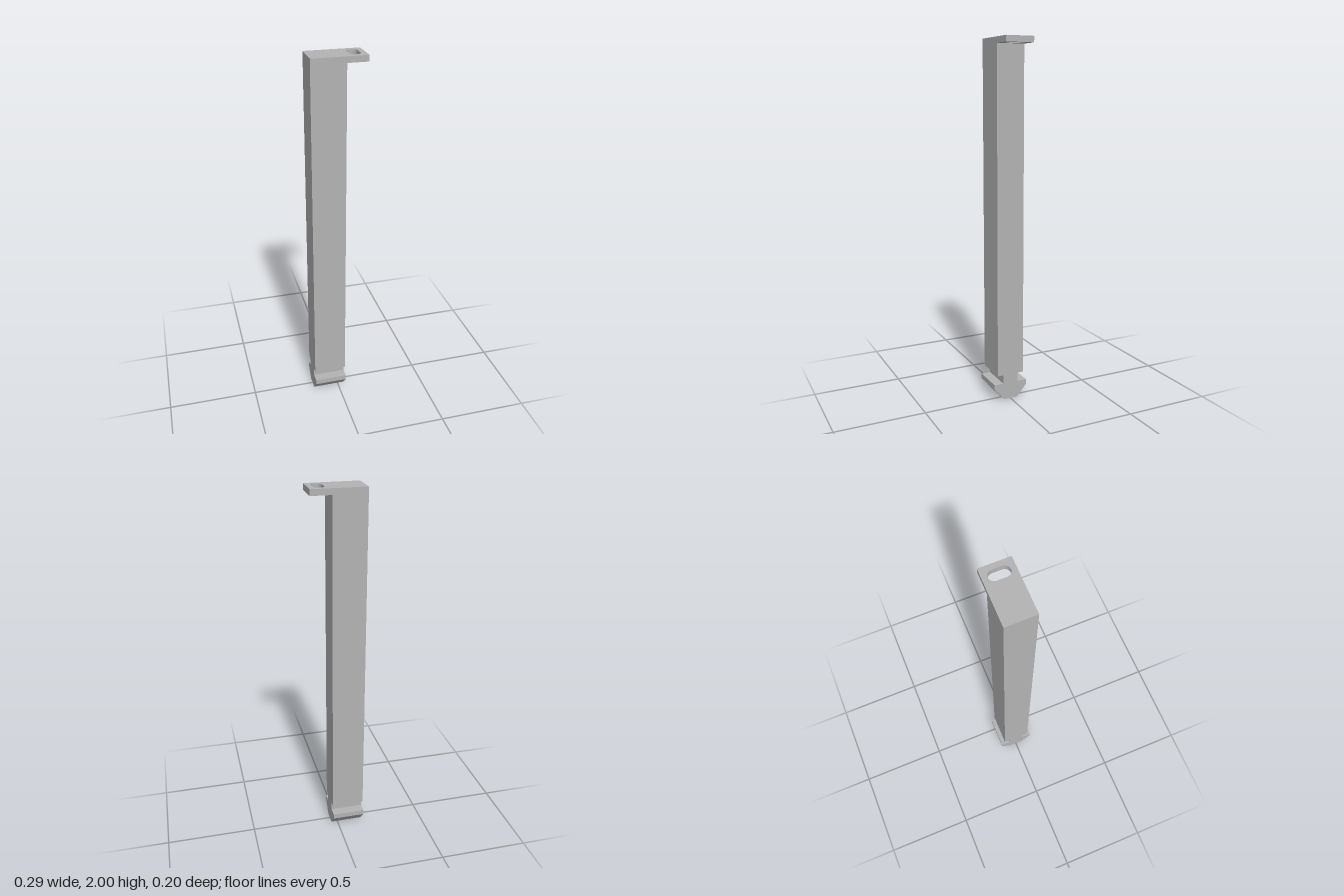
import * as THREE from 'three';

export function createModel() {
  const group = new THREE.Group();
  group.name = 'slottedPost';
  const grey = new THREE.MeshStandardMaterial({ color: 0xb3b3b3 });
  grey.name = 'grey';

  const add = (name, geometry) => {
    const mesh = new THREE.Mesh(geometry, grey);
    mesh.name = name;
    group.add(mesh);
  };

  const left = -0.146, right = 0.036, tabEnd = 0.146, halfDepth = 0.079;

  // Post with necked, chamfered foot: mirrored (z, y) profile extruded along x
  const half = [
    [0.041, 0], [0.099, 0.067], [0.099, 0.096], [0.045, 0.096],
    [0.045, 0.146], [halfDepth, 0.146], [halfDepth, 2],
  ];
  const outline = [...half, ...half.map(([z, y]) => [-z, y]).reverse()];
  const profile = new THREE.Shape(outline.map(([z, y]) => new THREE.Vector2(z, y)));
  const post = new THREE.ExtrudeGeometry(profile, { depth: right - left, bevelEnabled: false });
  post.rotateY(-Math.PI / 2).translate(right, 0, 0);
  add('postAndFoot', post);

  // Top tab with a rounded slot
  const plate = new THREE.Shape([
    new THREE.Vector2(right, -halfDepth), new THREE.Vector2(tabEnd, -halfDepth),
    new THREE.Vector2(tabEnd, halfDepth), new THREE.Vector2(right, halfDepth),
  ]);
  const slotX = 0.09, slotRadius = 0.028, slotOffset = 0.024;
  const slot = new THREE.Path();
  slot.absarc(slotX, slotOffset, slotRadius, 0, Math.PI, false);
  slot.absarc(slotX, -slotOffset, slotRadius, Math.PI, Math.PI * 2, false);
  slot.closePath();
  plate.holes.push(slot);
  const tab = new THREE.ExtrudeGeometry(plate, { depth: 0.032, bevelEnabled: false, curveSegments: 16 });
  tab.rotateX(-Math.PI / 2).translate(0, 1.968, 0);
  add('slottedTab', tab);

  return group;
}
